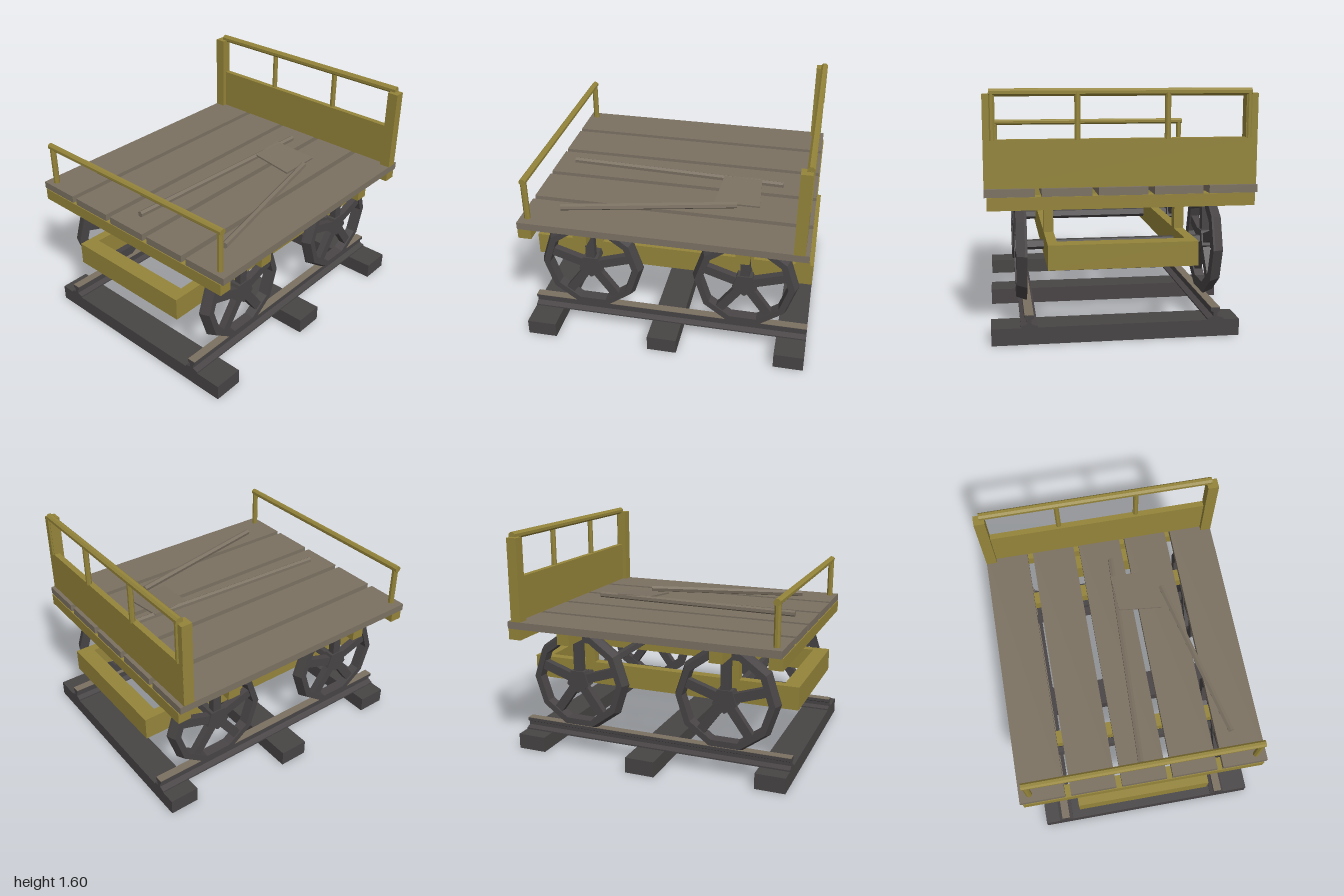
import * as THREE from 'three';

const material = (name, color, double) => {
  const m = new THREE.MeshStandardMaterial({ color });
  m.name = name;
  if (double) m.side = THREE.DoubleSide;
  return m;
};

export function createModel() {
  const yellow = material('yellowPaint', 0x94843a);
  const wood = material('weatheredWood', 0x7b7162);
  const iron = material('darkIron', 0x484445, true);

  const model = new THREE.Group();
  model.name = 'flatWagon';

  const flat = (geo) => {
    const g = geo.index ? geo.toNonIndexed() : geo;
    g.computeVertexNormals();
    return g;
  };
  const add = (parent, name, geo, mat) => {
    const mesh = new THREE.Mesh(geo, mat);
    mesh.name = name;
    parent.add(mesh);
    return mesh;
  };
  // Box given by its limits on each axis
  const box = (name, mat, x0, x1, y0, y1, z0, z1, parent = model) => {
    const mesh = add(parent, name, new THREE.BoxGeometry(x1 - x0, y1 - y0, z1 - z0), mat);
    mesh.position.set((x0 + x1) / 2, (y0 + y1) / 2, (z0 + z1) / 2);
    return mesh;
  };
  // Faceted bar between two points, width measured across its flats
  const bar = (name, mat, a, b, width, sides = 8) => {
    const from = new THREE.Vector3(...a), to = new THREE.Vector3(...b);
    const r = width / 2 / Math.cos(Math.PI / sides);
    const geo = new THREE.CylinderGeometry(r, r, from.distanceTo(to), sides, 1, false, Math.PI / sides);
    const mesh = add(model, name, flat(geo), mat);
    mesh.position.copy(from).add(to).multiplyScalar(0.5);
    mesh.quaternion.setFromUnitVectors(new THREE.Vector3(0, 1, 0), to.sub(from).normalize());
    return mesh;
  };

  // Sleepers, open underneath
  [[-0.895, -0.76], [-0.005, -0.85], [0.895, -0.76]].forEach(([x, back]) => {
    const sleeper = box('sleeper', iron, x - 0.105, x + 0.105, 0, 0.11, back, 0.84);
    const index = Array.from(sleeper.geometry.index.array);
    index.splice(18, 6);
    sleeper.geometry.setIndex(index);
  });

  // Rails with foot, web and head, and a worn running surface
  const half = [[0.053, 0.11], [0.053, 0.12], [0.014, 0.134], [0.014, 0.16], [0.03, 0.169], [0.03, 0.191]];
  const railShape = new THREE.Shape([
    ...half.map(([z, y]) => new THREE.Vector2(z, y)),
    ...half.slice().reverse().map(([z, y]) => new THREE.Vector2(-z, y)),
  ]);
  for (const s of [-1, 1]) {
    const geo = new THREE.ExtrudeGeometry(railShape, { depth: 2, bevelEnabled: false });
    geo.translate(0, 0, -1).rotateY(Math.PI / 2);
    add(model, 'rail', geo, iron).position.z = s * 0.602;
    box('railTop', wood, -1, 1, 0.19, 0.194, s * 0.602 - 0.029, s * 0.602 + 0.029);
  }

  // Ten-sided wheels with five spokes
  const rimProfile = [[0.295, 0], [0.372, 0], [0.368, 0.015], [0.347, 0.07], [0.302, 0.07], [0.295, 0]]
    .map(([r, y]) => new THREE.Vector2(r, y));
  const rimGeo = flat(new THREE.LatheGeometry(rimProfile, 10, Math.PI / 2).rotateX(Math.PI / 2));
  const hubGeo = flat(new THREE.CylinderGeometry(0.09, 0.09, 0.07, 5).rotateX(Math.PI / 2));
  const axleGeo = flat(new THREE.CylinderGeometry(0.036, 0.036, 1.22, 5).rotateX(Math.PI / 2));
  for (const x of [-0.547, 0.547]) {
    add(model, 'axle', axleGeo, iron).position.set(x, 0.545, 0);
    for (const s of [-1, 1]) {
      const wheel = new THREE.Group();
      wheel.name = 'wheel';
      wheel.position.set(x, 0.545, s * 0.603);
      if (s < 0) wheel.rotation.y = Math.PI;
      model.add(wheel);
      add(wheel, 'rim', rimGeo, iron);
      add(wheel, 'hub', hubGeo, iron).position.z = 0.035;
      for (let i = 0; i < 5; i++) {
        const spoke = box('spoke', iron, -0.032, 0.032, 0.06, 0.3, 0.01, 0.06, wheel);
        const a = (i / 5) * Math.PI * 2;
        spoke.position.set(-0.18 * Math.sin(a), 0.18 * Math.cos(a), 0.035);
        spoke.rotation.z = a;
      }
    }
  }

  // Underframe, posts and cross beams
  for (const s of [-1, 1]) {
    const zs = [s * 0.415, s * 0.48].sort((a, b) => a - b);
    box('sideBeam', yellow, -0.89, 0.89, 0.475, 0.635, ...zs);
    const xs = [s * 0.89, s].sort((a, b) => a - b);
    box('endBeam', yellow, ...xs, 0.475, 0.635, -0.48, 0.48);
    for (const x of [-0.547, 0.547]) {
      box('framePost', yellow, x - 0.038, x + 0.038, 0.635, 0.855, ...zs);
    }
  }
  for (const x of [-0.935, -0.547, 0.547, 0.93]) {
    box('crossBeam', yellow, x - 0.046, x + 0.046, 0.855, 0.937, -0.85, 0.85);
  }

  // Deck planks
  for (let i = -2; i <= 2; i++) {
    const z = i * 0.355;
    box('deckPlank', wood, -0.975, 0.97, 0.937, 0.988, z - 0.157, z + 0.157);
  }

  // Low hoop rail at one end
  bar('lowRail', yellow, [-0.922, 1.273, -0.82], [-0.922, 1.273, 0.815], 0.044);
  for (const z of [-0.795, 0.795]) {
    bar('lowRailPost', yellow, [-0.922, 0.985, z], [-0.922, 1.275, z], 0.04);
  }

  // High end board with posts, uprights and top rail
  box('endBoard', yellow, 0.9, 0.942, 0.985, 1.29, -0.866, 0.866);
  for (const s of [-1, 1]) {
    const zs = [s * 0.79, s * 0.867].sort((a, b) => a - b);
    box('endPost', yellow, 0.867, 0.941, 0.985, 1.568, ...zs);
  }
  for (const z of [-0.81, -0.285, 0.285, 0.81]) {
    bar('upright', yellow, [0.932, 1.285, z], [0.932, 1.575, z], 0.036);
  }
  bar('topRail', yellow, [0.925, 1.577, -0.825], [0.925, 1.577, 0.825], 0.048);

  // Loose poles lying on the deck
  bar('loosePole', wood, [-0.84, 1.01, -0.003], [0.73, 1.01, 0.062], 0.038, 6);
  bar('loosePole', wood, [-0.735, 1.012, 0.66], [0.44, 1.012, 0.395], 0.04, 6);

  // Loose board leaning on a pole
  const boardShape = new THREE.Shape(
    [[0.28, -0.365], [0.595, -0.365], [0.575, -0.03], [0.3, -0.05]].map(([x, y]) => new THREE.Vector2(x, y + 0.365)),
  );
  const boardGeo = new THREE.ExtrudeGeometry(boardShape, { depth: 0.012, bevelEnabled: false });
  const board = add(model, 'looseBoard', boardGeo, wood);
  board.rotation.x = -Math.PI / 2 + 0.1;
  board.position.set(0, 0.988, 0.365);

  return model;
}
